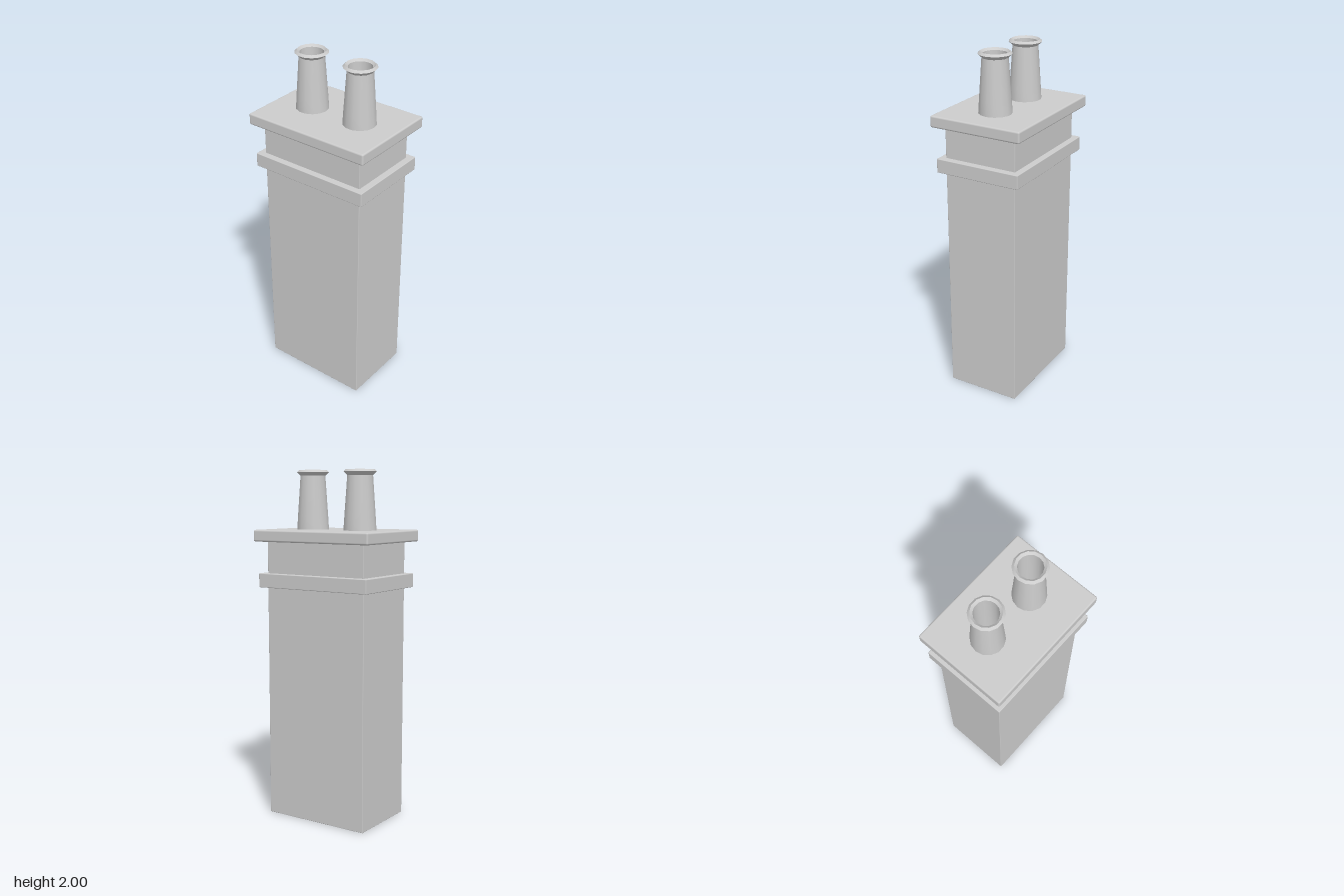
import * as THREE from 'three';
import { toCreasedNormals } from 'three/addons/utils/BufferGeometryUtils.js';
import { RoundedBoxGeometry } from 'three/addons/geometries/RoundedBoxGeometry.js';

export function createModel() {
  const group = new THREE.Group();
  group.name = 'chimney';
  const stone = new THREE.MeshStandardMaterial({ color: 0xcccccc });
  stone.name = 'pale grey stone';

  // Block with softened edges, spanning y0 to y1
  function block(name, width, depth, y0, y1, radius) {
    const mesh = new THREE.Mesh(new RoundedBoxGeometry(width, y1 - y0, depth, 2, radius), stone);
    mesh.name = name;
    mesh.position.y = (y0 + y1) / 2;
    group.add(mesh);
  }
  block('shaft', 0.646, 0.432, 0, 1.62, 0.003);
  block('band', 0.722, 0.504, 1.34, 1.42, 0.004);
  block('capSlab', 0.764, 0.546, 1.6, 1.666, 0.01);

  // Hollow tapered pots with a flared rim; the bore runs down to the slab
  const profile = [
    [0.093, 1.66], [0.088, 1.74], [0.072, 1.968], [0.093, 1.988],
    [0.08, 2], [0.066, 1.988], [0.066, 1.66],
  ].map(([r, y]) => new THREE.Vector2(r, y));
  const potGeometry = toCreasedNormals(
    new THREE.LatheGeometry(profile, 14).rotateY(Math.PI / 2), Math.PI / 6);
  for (const side of [-1, 1]) {
    const pot = new THREE.Mesh(potGeometry, stone);
    pot.name = side > 0 ? 'leftPot' : 'rightPot';
    pot.position.x = side * 0.16;
    group.add(pot);
  }
  return group;
}
